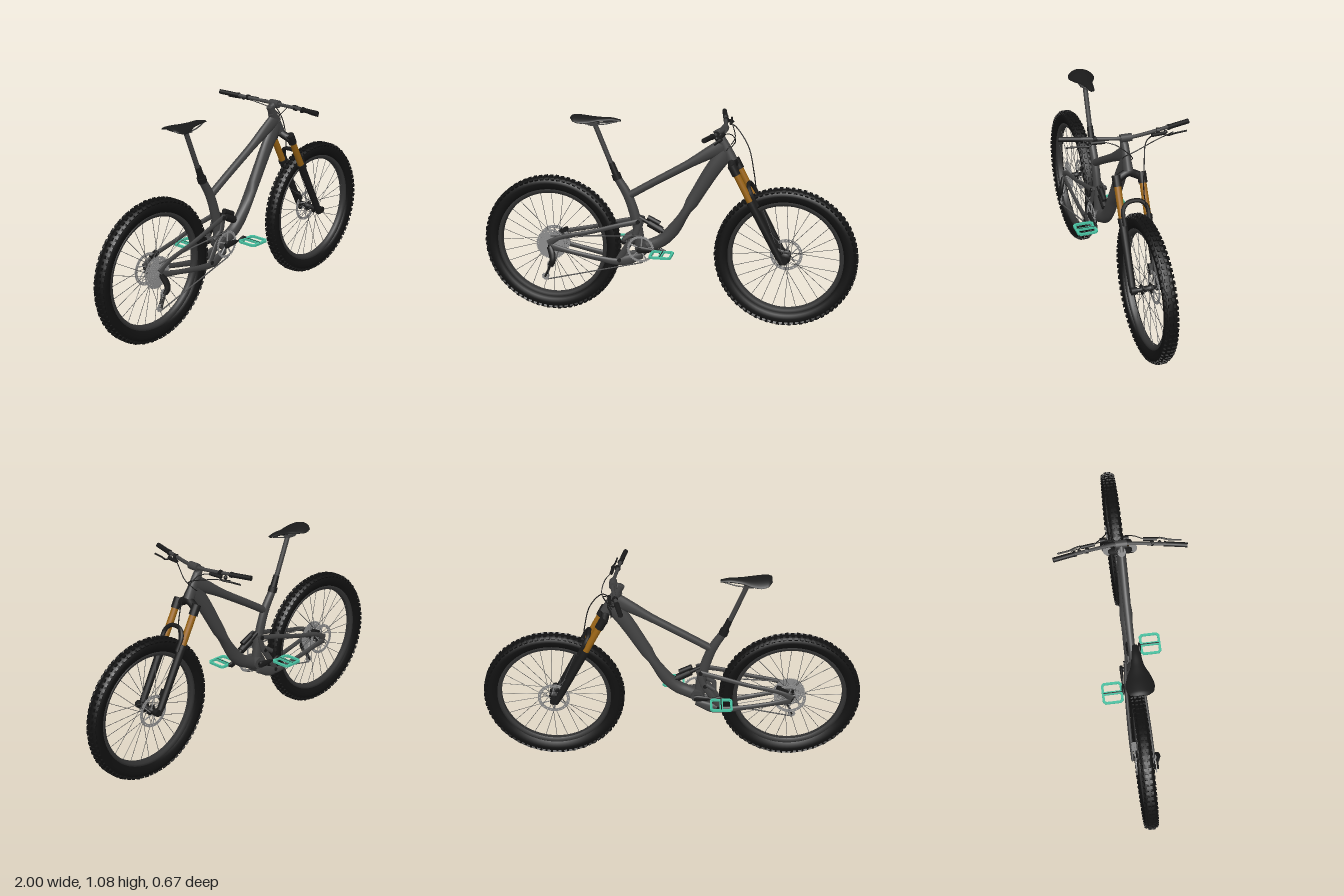
import * as THREE from 'three';
import { mergeGeometries } from 'three/addons/utils/BufferGeometryUtils.js';

const V = (x, y, z = 0) => new THREE.Vector3(x, y, z);
const mat = (color) => new THREE.MeshStandardMaterial({ color });
const M = {
  rubber: mat(0x111111), black: mat(0x1a1a1a), rim: mat(0x333333), frame: mat(0x414141),
  steel: mat(0x8c8c8c), spoke: mat(0x555555), gold: mat(0x9a6414), teal: mat(0x48c0a0),
};
const REAR = V(-0.626, 0.375), FRONT = V(0.625, 0.375), BB = V(-0.135, 0.384);
const SIDES = [1, -1];

function merge(list) {
  return mergeGeometries([list].flat(3).map((g) => {
    const n = g.index ? g.toNonIndexed() : g;
    n.deleteAttribute('uv');
    return n;
  }));
}
function add(parent, name, material, ...geos) {
  const mesh = new THREE.Mesh(merge(geos), material);
  mesh.name = name;
  parent.add(mesh);
  return mesh;
}
function group(parent, name, x = 0, y = 0, z = 0) {
  const g = new THREE.Group();
  g.name = name;
  g.position.set(x, y, z);
  parent.add(g);
  return g;
}
// Straight round bar between two points
function rod(a, b, r1, r2 = r1, seg = 16) {
  const d = b.clone().sub(a);
  const g = new THREE.CylinderGeometry(r2, r1, d.length(), seg);
  g.applyQuaternion(new THREE.Quaternion().setFromUnitVectors(V(0, 1), d.normalize()));
  return g.translate((a.x + b.x) / 2, (a.y + b.y) / 2, (a.z + b.z) / 2);
}
const hose = (pts, r, seg = 32) => new THREE.TubeGeometry(
  new THREE.CatmullRomCurve3(pts.map((p) => V(...p))), seg, r, 8);
const box = (w, h, d, x, y, z, rz = 0) => new THREE.BoxGeometry(w, h, d).rotateZ(rz).translate(x, y, z);
const ball = (r, x, y, z) => new THREE.SphereGeometry(r, 12, 8).translate(x, y, z);
// Round part whose axis lies along z; profile is [radius, z]
const turned = (profile, seg = 48) => new THREE.LatheGeometry(
  profile.map((p) => new THREE.Vector2(...p)), seg).rotateX(Math.PI / 2);
// Oval tube through stations [x, y, z, half height, half width]
function loft(st, seg = 20, steps = 24) {
  const path = new THREE.CatmullRomCurve3(st.map((s) => V(s[0], s[1], s[2])));
  const size = new THREE.CatmullRomCurve3(st.map((s) => V(s[3], s[4])));
  const pos = [], idx = [];
  const ring = (t) => {
    const c = path.getPoint(t), k = size.getPoint(t), d = path.getTangent(t);
    const n = V(-d.y, d.x).normalize();
    for (let j = 0; j < seg; j++) {
      const a = (j / seg) * Math.PI * 2;
      pos.push(c.x + n.x * k.x * Math.cos(a), c.y + n.y * k.x * Math.cos(a), c.z + k.y * Math.sin(a));
    }
  };
  for (let i = 0; i <= steps; i++) ring(i / steps);
  for (let i = 0; i < steps; i++) for (let j = 0; j < seg; j++) {
    const a = i * seg + j, b = i * seg + (j + 1) % seg;
    idx.push(a, b, a + seg, b, b + seg, a + seg);
  }
  for (const t of [0, 1]) {
    const o = pos.length / 3;
    ring(t);
    for (let j = 1; j < seg - 1; j++) idx.push(o, t ? o + j : o + j + 1, t ? o + j + 1 : o + j);
  }
  const g = new THREE.BufferGeometry();
  g.setAttribute('position', new THREE.Float32BufferAttribute(pos, 3));
  g.setIndex(idx);
  g.computeVertexNormals();
  return g;
}
const plate = (shape, depth, z = 0) => new THREE.ExtrudeGeometry(
  shape, { depth, bevelEnabled: false, curveSegments: 24 }).translate(0, 0, z - depth / 2);
function circleHole(shape, x, y, r) {
  shape.holes.push(new THREE.Path().absarc(x, y, r, 0, Math.PI * 2, true));
  return shape;
}
// Toothed ring
function gear(r, teeth, inner, z, depth = 0.003) {
  const s = new THREE.Shape();
  for (let i = 0; i < teeth * 4; i++) {
    const a = (i / (teeth * 4)) * Math.PI * 2, q = i % 4 < 2 ? r : r - 0.004;
    s[i ? 'lineTo' : 'moveTo'](Math.cos(a) * q, Math.sin(a) * q);
  }
  return plate(circleHole(s, 0, 0, inner), depth, z);
}
// Radial arms between two radii
const arms = (n, r1, r2, z, r, skew = 0.4) => Array.from({ length: n }, (_, i) => {
  const a = (i / n) * Math.PI * 2;
  return rod(V(Math.cos(a) * r1, Math.sin(a) * r1, z),
    V(Math.cos(a + skew) * r2, Math.sin(a + skew) * r2, z), r, r, 6);
});

function buildWheel(parent, name, at, rear) {
  const w = group(parent, name, at.x, at.y);
  const tyre = turned([[0.3, -0.017], [0.315, -0.027], [0.335, -0.032], [0.353, -0.029], [0.364, -0.018], [0.367, 0],
    [0.364, 0.018], [0.353, 0.029], [0.335, 0.032], [0.315, 0.027], [0.3, 0.017], [0.3, -0.017]], 96);
  const knobs = [];
  const n = 76;
  for (let i = 0; i < n; i++) for (const s of SIDES) {
    const a = (i / n) * Math.PI * 2;
    const mid = new THREE.BoxGeometry(0.012, 0.017, 0.013).translate(0.368, 0, s * (i % 2 ? 0.008 : 0.0115));
    const edge = new THREE.BoxGeometry(0.014, 0.018, 0.011).rotateY(-s * 0.6).translate(0.358, 0, s * 0.026);
    knobs.push(mid.rotateZ(a), edge.rotateZ(a + Math.PI / n));
  }
  add(w, 'tyre', M.rubber, tyre, knobs);
  add(w, 'rim', M.rim, turned([[0.28, -0.011], [0.29, -0.017], [0.306, -0.019], [0.306, 0.019],
    [0.29, 0.017], [0.28, 0.011], [0.28, -0.011]], 96));
  // Crossed spokes, alternating flanges
  const spokes = [];
  for (let i = 0; i < 28; i++) {
    const a = (i / 28) * Math.PI * 2, s = i % 2 ? 1 : -1, b = a + (i % 4 < 2 ? 1.1 : -1.1);
    spokes.push(rod(V(Math.cos(b) * 0.024, Math.sin(b) * 0.024, s * 0.024),
      V(Math.cos(a) * 0.283, Math.sin(a) * 0.283, s * 0.003), 0.0014, 0.0014, 5));
  }
  add(w, 'spokes', M.spoke, spokes);
  add(w, 'hub', M.black, turned([[0, -0.06], [0.011, -0.06], [0.011, -0.03], [0.027, -0.026], [0.027, -0.022], [0.015, -0.018],
    [0.015, 0.018], [0.027, 0.022], [0.027, 0.026], [0.011, 0.03], [0.011, 0.06], [0, 0.06]], 32));
  // Brake disc
  const disc = new THREE.Shape().absarc(0, 0, 0.085, 0, Math.PI * 2);
  circleHole(disc, 0, 0, 0.069);
  for (let i = 0; i < 24; i++) circleHole(disc, Math.cos(i * Math.PI / 12) * 0.077, Math.sin(i * Math.PI / 12) * 0.077, 0.003);
  add(w, 'brakeDisc', M.steel, plate(disc, 0.003, -0.04), arms(6, 0.02, 0.071, -0.04, 0.003, 0.6));
  if (rear) {
    const cogs = [0.085, 0.074, 0.065, 0.057, 0.05, 0.043, 0.036, 0.029, 0.022].map((r, i) =>
      gear(r, Math.round(r * 560), r - 0.012, 0.028 + i * 0.0035, 0.002));
    add(w, 'cassette', M.steel, cogs, arms(8, 0.015, 0.075, 0.029, 0.003),
      turned([[0.06, 0.029], [0.012, 0.057], [0, 0.057]], 32));
  }
}

function buildFrame(bike) {
  const f = group(bike, 'frame');
  add(f, 'headTube', M.frame, loft([[0.337, 0.88, 0, 0.03, 0.025], [0.305, 0.94, 0, 0.029, 0.022], [0.272, 1.0, 0, 0.025, 0.021]]));
  add(f, 'topTube', M.frame, loft([[-0.215, 0.655, 0, 0.02, 0.018], [-0.1, 0.725, 0, 0.02, 0.019],
    [0.1, 0.842, 0, 0.022, 0.02], [0.21, 0.908, 0, 0.032, 0.022], [0.295, 0.955, 0, 0.042, 0.022]]));
  add(f, 'downTube', M.frame, loft([[0.31, 0.925, 0, 0.042, 0.022], [0.24, 0.83, 0, 0.04, 0.026], [0.13, 0.645, 0, 0.034, 0.029],
    [0.03, 0.485, 0, 0.034, 0.029], [-0.03, 0.425, 0, 0.034, 0.029], [-0.09, 0.395, 0, 0.034, 0.029], [-0.14, 0.37, 0, 0.034, 0.029]]));
  add(f, 'seatTube', M.frame, loft([[-0.272, 0.765, 0, 0.02, 0.02], [-0.21, 0.66, 0, 0.025, 0.021],
    [-0.17, 0.54, 0, 0.027, 0.022], [-0.155, 0.46, 0, 0.026, 0.024], [-0.145, 0.37, 0, 0.03, 0.026]]));
  add(f, 'bottomBracket', M.frame, rod(V(BB.x, BB.y, -0.038), V(BB.x, BB.y, 0.038), 0.033, 0.033, 24));
  // Suspended rear end
  SIDES.forEach((s) => {
    add(f, 'lowerStay', M.frame, loft([[-0.63, 0.372, s * 0.055, 0.02, 0.007], [-0.5, 0.345, s * 0.052, 0.013, 0.009],
      [-0.36, 0.318, s * 0.047, 0.015, 0.009], [-0.25, 0.305, s * 0.04, 0.019, 0.01], [-0.13, 0.345, s * 0.03, 0.019, 0.01]]));
    add(f, 'upperStay', M.frame, loft([[-0.635, 0.385, s * 0.055, 0.02, 0.007], [-0.58, 0.42, s * 0.054, 0.013, 0.008],
      [-0.4, 0.465, s * 0.05, 0.012, 0.008], [-0.26, 0.505, s * 0.044, 0.013, 0.008], [-0.15, 0.53, s * 0.032, 0.015, 0.008]]));
    add(f, 'rockerLink', M.frame, loft([[-0.26, 0.31, s * 0.04, 0.016, 0.007], [-0.21, 0.39, s * 0.037, 0.017, 0.008],
      [-0.165, 0.46, s * 0.034, 0.016, 0.008], [-0.14, 0.545, s * 0.03, 0.015, 0.007]]));
    add(f, 'pivots', M.black, [[-0.25, 0.315, 0.04], [-0.175, 0.45, 0.034], [-0.15, 0.53, 0.033]].map(([x, y, z]) =>
      rod(V(x, y, s * z - 0.011), V(x, y, s * z + 0.011), 0.011)));
  });
  add(f, 'linkBridge', M.frame, rod(V(-0.225, 0.43, -0.04), V(-0.225, 0.43, 0.04), 0.012), rod(V(-0.18, 0.46, -0.034), V(-0.225, 0.43, -0.038), 0.012),
    rod(V(-0.18, 0.46, 0.034), V(-0.225, 0.43, 0.038), 0.012));
  add(f, 'shock', M.black, rod(V(-0.15, 0.545), V(-0.085, 0.51), 0.011), rod(V(-0.1, 0.518), V(-0.03, 0.48), 0.02),
    rod(V(-0.03, 0.48), V(0.005, 0.46), 0.012), rod(V(-0.105, 0.548), V(-0.04, 0.516), 0.014));
  add(f, 'rearCaliper', M.black, box(0.045, 0.022, 0.026, -0.575, 0.435, -0.042, 0.4));
}

function buildSeat(bike) {
  const s = group(bike, 'seat');
  add(s, 'seatPost', M.frame, rod(V(-0.275, 0.77), V(-0.383, 1.04), 0.013));
  add(s, 'seatCollar', M.black, rod(V(-0.264, 0.748), V(-0.274, 0.775), 0.024), rod(V(-0.274, 0.775), V(-0.298, 0.835), 0.018, 0.016));
  // Saddle shell, with the edges drooping
  const shell = loft([[-0.505, 1.077, 0, 0.004, 0.035], [-0.485, 1.076, 0, 0.009, 0.062], [-0.45, 1.073, 0, 0.01, 0.07],
    [-0.4, 1.068, 0, 0.01, 0.056], [-0.35, 1.066, 0, 0.01, 0.032], [-0.29, 1.067, 0, 0.009, 0.021], [-0.245, 1.062, 0, 0.005, 0.012]], 28, 30);
  const p = shell.attributes.position;
  for (let i = 0; i < p.count; i++) p.setY(i, p.getY(i) - 4 * p.getZ(i) ** 2);
  shell.computeVertexNormals();
  add(s, 'saddle', M.black, shell);
  add(s, 'saddleRails', M.frame, SIDES.map((q) => hose([[-0.47, 1.06, q * 0.035], [-0.43, 1.043, q * 0.022],
    [-0.34, 1.043, q * 0.022], [-0.26, 1.058, q * 0.006]], 0.0035)), box(0.05, 0.016, 0.055, -0.388, 1.042, 0));
}

function buildFork(bike) {
  const f = group(bike, 'fork');
  const at = (y, z = 0, dx = 0) => V(0.345 + (0.87 - y) * 0.525 + dx, y, z);
  SIDES.forEach((s) => {
    const z = s * 0.0655;
    add(f, 'stanchion', M.gold, rod(at(0.85, z), at(0.6, z), 0.0175));
    add(f, 'crownCap', M.black, rod(at(0.822, z), at(0.872, z), 0.0225));
    add(f, 'lowerLeg', M.black, rod(at(0.39, z), at(0.68, z), 0.018, 0.021), rod(at(0.665, z), at(0.685, z), 0.023),
      rod(V(FRONT.x, FRONT.y, s * 0.05), V(FRONT.x, FRONT.y, s * 0.08), 0.018), rod(at(0.44, z), V(0.615, 0.36, z), 0.018, 0.016));
  });
  add(f, 'crown', M.black, hose([[0.35, 0.847, -0.066], [0.342, 0.862, -0.035], [0.338, 0.875, 0], [0.342, 0.862, 0.035], [0.35, 0.847, 0.066]], 0.021));
  add(f, 'forkArch', M.black, hose([-1, -0.95, -0.55, 0, 0.55, 0.95, 1].map((k, i) => {
    const y = [0.66, 0.73, 0.757, 0.763, 0.757, 0.73, 0.66][i];
    return at(y, k * 0.064, 0.025).toArray();
  }), 0.011, 48));
  add(f, 'frontCaliper', M.black, box(0.024, 0.055, 0.03, 0.565, 0.445, -0.048, 0.5));
}

function buildCockpit(bike) {
  const c = group(bike, 'cockpit', 0, 0, -0.009);
  add(c, 'stem', M.frame, rod(V(0.28, 0.985, 0.009), V(0.256, 1.035, 0.009), 0.02),
    rod(V(0.262, 1.022, 0.009), V(0.297, 1.043, 0.009), 0.017), rod(V(0.296, 1.043, -0.02), V(0.296, 1.043, 0.038), 0.02));
  add(c, 'handlebar', M.frame, hose([[0.245, 1.059, -0.33], [0.268, 1.053, -0.21], [0.287, 1.046, -0.1], [0.296, 1.043, -0.03],
    [0.296, 1.043, 0.03], [0.287, 1.046, 0.1], [0.268, 1.053, 0.21], [0.245, 1.059, 0.33]], 0.0095, 48));
  SIDES.forEach((s) => {
    add(c, 'grip', M.black, rod(V(0.266, 1.053, s * 0.225), V(0.244, 1.059, s * 0.334), 0.0125), rod(V(0.268, 1.053, s * 0.218), V(0.266, 1.053, s * 0.228), 0.0145));
    add(c, 'brakeLever', M.black, rod(V(0.278, 1.05, s * 0.155), V(0.281, 1.049, s * 0.17), 0.0145),
      rod(V(0.31, 1.043, s * 0.12), V(0.302, 1.042, s * 0.19), 0.009),
      hose([[0.303, 1.042, s * 0.18], [0.312, 1.033, s * 0.2], [0.297, 1.03, s * 0.25], [0.288, 1.03, s * 0.31]], 0.0045), ball(0.01, 0.285, 1.038, s * 0.2));
  });
  add(c, 'hoses', M.black,
    hose([[0.312, 1.043, -0.12], [0.35, 1.03, -0.075], [0.415, 0.94, -0.045], [0.447, 0.805, -0.035], [0.463, 0.7, -0.05], [0.56, 0.47, -0.055]], 0.0028),
    hose([[0.29, 1.035, -0.24], [0.32, 1.02, -0.14], [0.345, 0.985, -0.02], [0.32, 0.95, 0.028], [0.3, 0.92, 0.026]], 0.0025),
    hose([[0.312, 1.043, 0.12], [0.34, 1.03, 0.07], [0.355, 0.985, 0.015], [0.325, 0.94, -0.016], [0.3, 0.92, -0.012]], 0.0025));
}

function buildDrivetrain(bike) {
  const d = group(bike, 'drivetrain');
  const ring = add(d, 'chainring', M.steel, gear(0.074, 34, 0.06, 0.046), arms(5, 0.015, 0.063, 0.046, 0.004, 0.2));
  ring.position.set(BB.x, BB.y, 0);
  SIDES.forEach((s) => {
    const x = BB.x + s * 0.125;
    add(d, 'crankArm', M.black, loft([[BB.x - s * 0.018, BB.y, s * 0.053, 0.014, 0.008], [BB.x, BB.y, s * 0.054, 0.019, 0.009],
      [BB.x + s * 0.06, BB.y, s * 0.056, 0.012, 0.007], [x, BB.y, s * 0.058, 0.012, 0.007], [x + s * 0.013, BB.y, s * 0.058, 0.007, 0.005]]),
    rod(V(BB.x, BB.y, 0), V(BB.x, BB.y, s * 0.062), 0.012));
    // Open platform pedal with two windows
    const sh = new THREE.Shape([[-0.045, -0.056], [0.045, -0.056], [0.059, -0.042], [0.059, 0.042], [0.045, 0.056], [-0.045, 0.056],
      [-0.059, 0.042], [-0.059, -0.042]].map((p) => new THREE.Vector2(...p)));
    SIDES.forEach((q) => sh.holes.push(new THREE.Path([[0.009, -0.043], [0.04, -0.043], [0.047, -0.036], [0.047, 0.036],
      [0.04, 0.043], [0.009, 0.043]].map(([a, b]) => new THREE.Vector2(a * q, b)))));
    const pins = [-0.05, 0.05].flatMap((a) => [-0.035, 0.035].map((b) => rod(V(a, -0.01, b), V(a, 0.01, b), 0.002, 0.002, 6)));
    add(d, 'pedal', M.teal, plate(sh, 0.011).rotateX(Math.PI / 2), pins).position.set(x, BB.y, s * 0.117);
    add(d, 'pedalAxle', M.black, rod(V(x, BB.y, s * 0.055), V(x, BB.y, s * 0.165), 0.0062));
  });
  const pulley = V(-0.652, 0.205, 0.07), upper = V(-0.622, 0.275, 0.066);
  add(d, 'chain', M.spoke, rod(V(REAR.x, REAR.y + 0.052, 0.045), V(BB.x, BB.y + 0.073, 0.046), 0.0035, 0.0035, 6),
    rod(V(pulley.x, pulley.y - 0.018, 0.07), V(BB.x + 0.012, BB.y - 0.073, 0.046), 0.0035, 0.0035, 6),
    rod(V(upper.x + 0.018, upper.y, 0.066), V(REAR.x + 0.045, REAR.y - 0.02, 0.046), 0.0035, 0.0035, 6),
    rod(V(pulley.x + 0.017, pulley.y, 0.07), V(upper.x - 0.017, upper.y, 0.066), 0.0035, 0.0035, 6));
  add(d, 'derailleur', M.black, loft([[-0.63, 0.372, 0.062, 0.014, 0.008], [-0.612, 0.335, 0.074, 0.018, 0.013],
    [-0.608, 0.3, 0.082, 0.017, 0.013], [-0.622, 0.27, 0.078, 0.014, 0.01]]), SIDES.map((s) => rod(V(upper.x, upper.y, 0.07 + s * 0.008), V(pulley.x, pulley.y, 0.072 + s * 0.008), 0.005)));
  [upper, pulley].forEach((p) => add(d, 'pulley', M.steel, gear(0.021, 12, 0.006, p.z, 0.005)).position.set(p.x, p.y, 0));
}

export function createModel() {
  const model = new THREE.Group();
  model.name = 'mountainBike';
  const bike = group(model, 'bike', 0, 0, 0.009);
  buildWheel(bike, 'rearWheel', REAR, true);
  buildWheel(bike, 'frontWheel', FRONT, false);
  [buildFrame, buildSeat, buildFork, buildCockpit, buildDrivetrain].forEach((build) => build(bike));
  return model;
}
